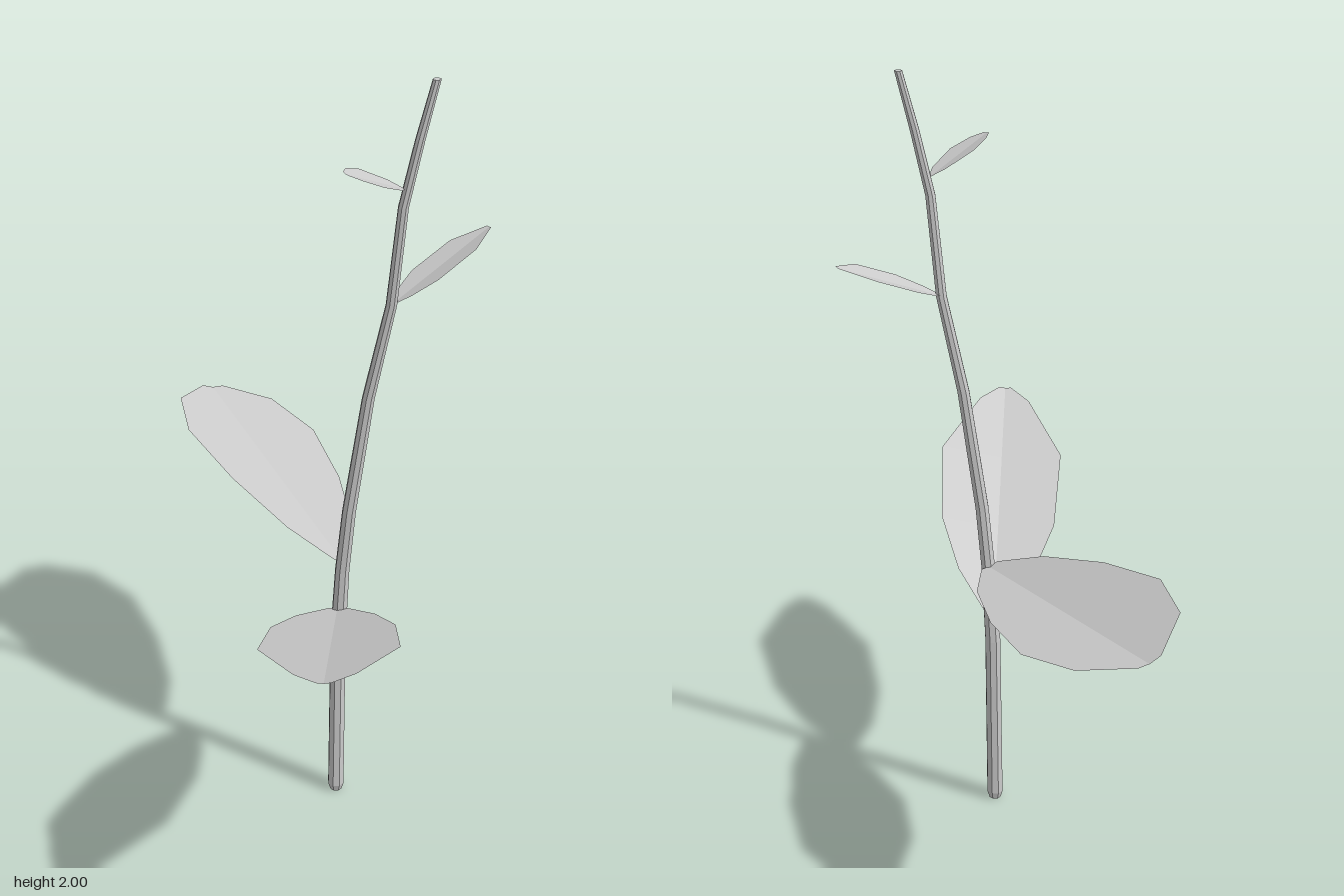
import * as THREE from 'three';

const material = new THREE.MeshStandardMaterial({ color: 0xcccccc, flatShading: true, side: THREE.DoubleSide });

// Stem centre line and radius from bottom to top: [x, y, z, radius]
const STEM = [
  [-0.01, 0, 0.07, 0.016], [-0.01, 0.02, 0.07, 0.022], [0, 0.5, 0.06, 0.021],
  [0.008, 0.7, 0.067, 0.019], [0.02, 0.88, 0.08, 0.018], [0.06, 1.2, 0.1, 0.016],
  [0.105, 1.45, 0.125, 0.014], [0.122, 1.7, 0.143, 0.013], [0.155, 1.86, 0.154, 0.012],
  [0.189, 2, 0.163, 0.01],
];

// A capped cylinder whose rings are moved onto the centre line
function makeStem() {
  const last = STEM.length - 1;
  const geometry = new THREE.CylinderGeometry(1, 1, last, 8, last);
  const p = geometry.attributes.position;
  for (let i = 0; i < p.count; i++) {
    const [x, y, z, r] = STEM[Math.round(p.getY(i) + last / 2)];
    p.setXYZ(i, x + p.getX(i) * r, y, z + p.getZ(i) * r);
  }
  geometry.computeVertexNormals();
  const mesh = new THREE.Mesh(geometry, material);
  mesh.name = 'stem';
  return mesh;
}

// A thin leaf folded along its midrib. side is the half width vector,
// profile holds [fraction of length, fraction of width], lift raises the edges.
function makeLeaf({ name, base, tip, side, lift, profile }) {
  const a = new THREE.Vector3(...base), b = new THREE.Vector3(...tip);
  const s = new THREE.Vector3(...side);
  const positions = [], indices = [];
  profile.forEach(([t, w], row) => {
    const rib = a.clone().lerp(b, t);
    for (const k of [-1, 0, 1]) {
      const v = rib.clone().addScaledVector(s, k * w);
      v.y += Math.abs(k) * w * lift;
      positions.push(v.x, v.y, v.z);
    }
    if (row === 0) return;
    for (const k of [0, 1]) {
      const i = (row - 1) * 3 + k;
      indices.push(i, i + 1, i + 4, i, i + 4, i + 3);
    }
  });
  const geometry = new THREE.BufferGeometry();
  geometry.setAttribute('position', new THREE.Float32BufferAttribute(positions, 3));
  geometry.setIndex(indices);
  geometry.computeVertexNormals();
  const mesh = new THREE.Mesh(geometry, material);
  mesh.name = name;
  return mesh;
}

const LEAVES = [
  {
    name: 'backLeaf', base: [0.012, 0.72, 0.055], tip: [-0.012, 0.845, -0.732],
    side: [0.188, -0.05, -0.01], lift: 0.033,
    profile: [[0, 0.12], [0.15, 0.51], [0.4, 0.84], [0.67, 1], [0.88, 0.74], [1, 0.16]],
  },
  {
    name: 'frontLeaf', base: [0, 0.575, 0.055], tip: [-0.355, 0.9, 0.725],
    side: [0.145, 0.01, 0.078], lift: 0.022,
    profile: [[0, 0.12], [0.16, 0.6], [0.36, 0.92], [0.67, 1], [0.93, 0.42], [1, 0.1]],
  },
  {
    name: 'upperLeftLeaf', base: [0.105, 1.45, 0.125], tip: [0.388, 1.577, 0.078],
    side: [0.008, 0.008, 0.055], lift: 0.008,
    profile: [[0, 0.1], [0.13, 0.55], [0.34, 0.95], [0.73, 0.93], [1, 0.15]],
  },
  {
    name: 'upperRightLeaf', base: [0.122, 1.745, 0.143], tip: [-0.043, 1.822, 0.18],
    side: [0.01, -0.008, 0.046], lift: 0.006,
    profile: [[0, 0.1], [0.16, 0.6], [0.56, 1], [0.85, 0.68], [1, 0.22]],
  },
];

export function createModel() {
  const plant = new THREE.Group();
  plant.name = 'leafyTwig';
  plant.add(makeStem(), ...LEAVES.map(makeLeaf));
  return plant;
}
